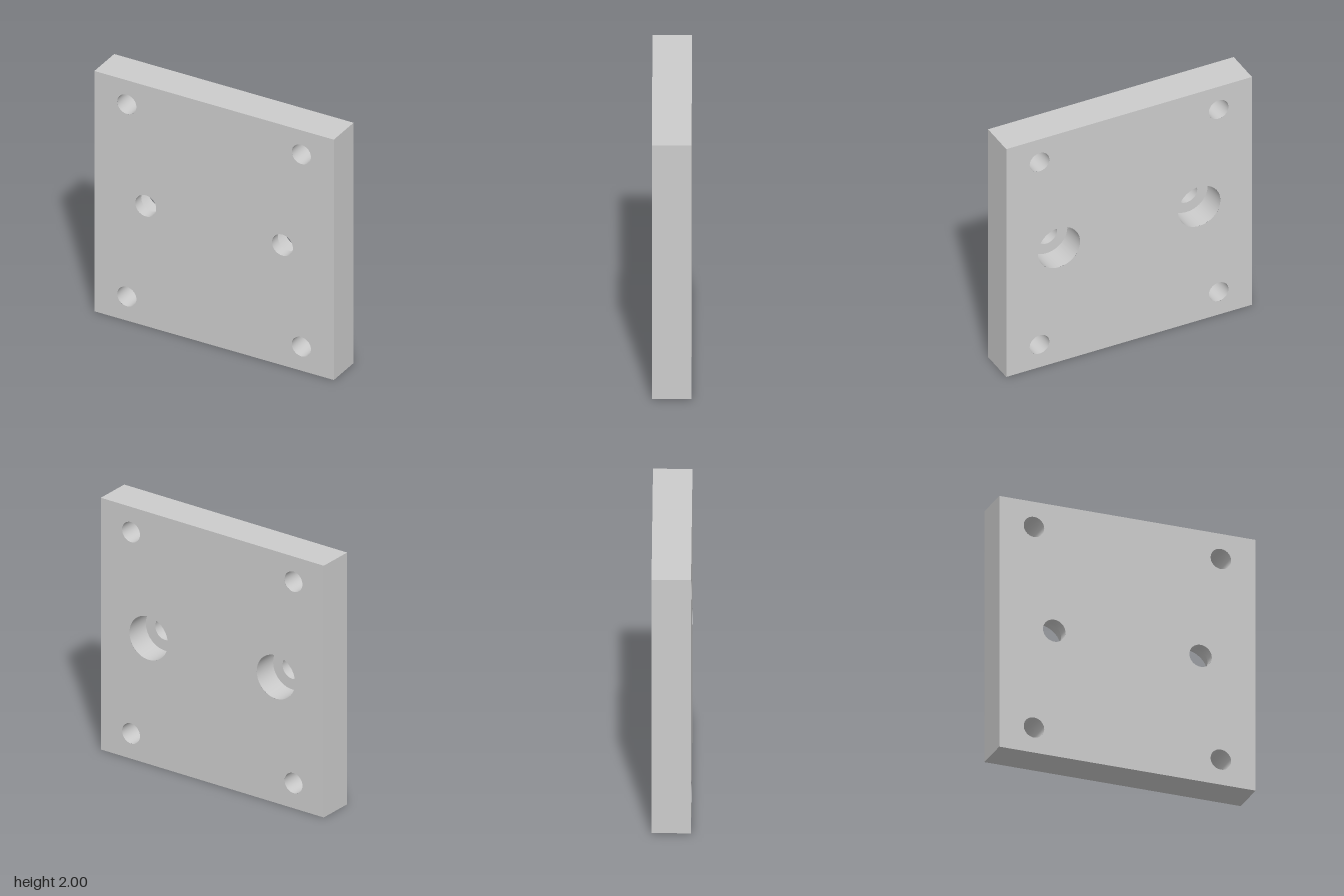
import * as THREE from 'three';
import { toCreasedNormals } from 'three/addons/utils/BufferGeometryUtils.js';

const HALF = 0.143; // half the plate thickness
const SEGMENTS = 48;
const CORNER_R = 0.08, BOLT_R = 0.0875, BORE_R = 0.172, BORE_DEPTH = 0.2;

const mirrored = (x, y) => [[-x, y], [x, y]];
const corners = [...mirrored(0.729, 0.2), ...mirrored(0.729, 1.8)];
const bolts = mirrored(0.571, 1);

export function createModel() {
  const group = new THREE.Group();
  const material = new THREE.MeshStandardMaterial({ color: 0xcccccc });
  const add = (name, geometry, x, y, z) => {
    const mesh = new THREE.Mesh(geometry, material);
    mesh.name = name;
    mesh.position.set(x, y, z);
    group.add(mesh);
    return mesh;
  };

  // Square face, pierced by the corner holes and two middle holes
  const face = (boltRadius) => {
    const shape = new THREE.Shape([[-1, 0], [1, 0], [1, 2], [-1, 2]].map(([x, y]) => new THREE.Vector2(x, y)));
    const pierce = (r) => ([x, y]) => shape.holes.push(new THREE.Path().absarc(x, y, r, 0, Math.PI * 2, true));
    corners.forEach(pierce(CORNER_R));
    bolts.forEach(pierce(boltRadius));
    return new THREE.ShapeGeometry(shape, SEGMENTS);
  };
  add('frontFace', face(BOLT_R), 0, 0, HALF);
  add('backFace', face(BORE_R), 0, 0, -HALF).rotation.y = Math.PI;

  // Four outer edges of the plate
  for (const side of [-1, 1]) {
    add('sideEdge', new THREE.PlaneGeometry(2 * HALF, 2), side, 1, 0).rotation.y = side * Math.PI / 2;
    add('endEdge', new THREE.PlaneGeometry(2, 2 * HALF), 0, 1 + side, 0).rotation.x = -side * Math.PI / 2;
  }

  // Hole walls: profiles run front to back so the surface faces the hole axis
  const wall = (profile) => {
    const points = profile.map(([r, z]) => new THREE.Vector2(r, z));
    return toCreasedNormals(new THREE.LatheGeometry(points, SEGMENTS), 0.6).rotateX(Math.PI / 2);
  };
  const cornerWall = wall([[CORNER_R, HALF], [CORNER_R, -HALF]]);
  corners.forEach(([x, y]) => add('cornerHole', cornerWall, x, y, 0));

  // Counterbored middle holes, wide at the back
  const step = -HALF + BORE_DEPTH;
  const boltWall = wall([[BOLT_R, HALF], [BOLT_R, step], [BORE_R, step], [BORE_R, -HALF]]);
  bolts.forEach(([x, y]) => add('counterboredHole', boltWall, x, y, 0));

  return group;
}
